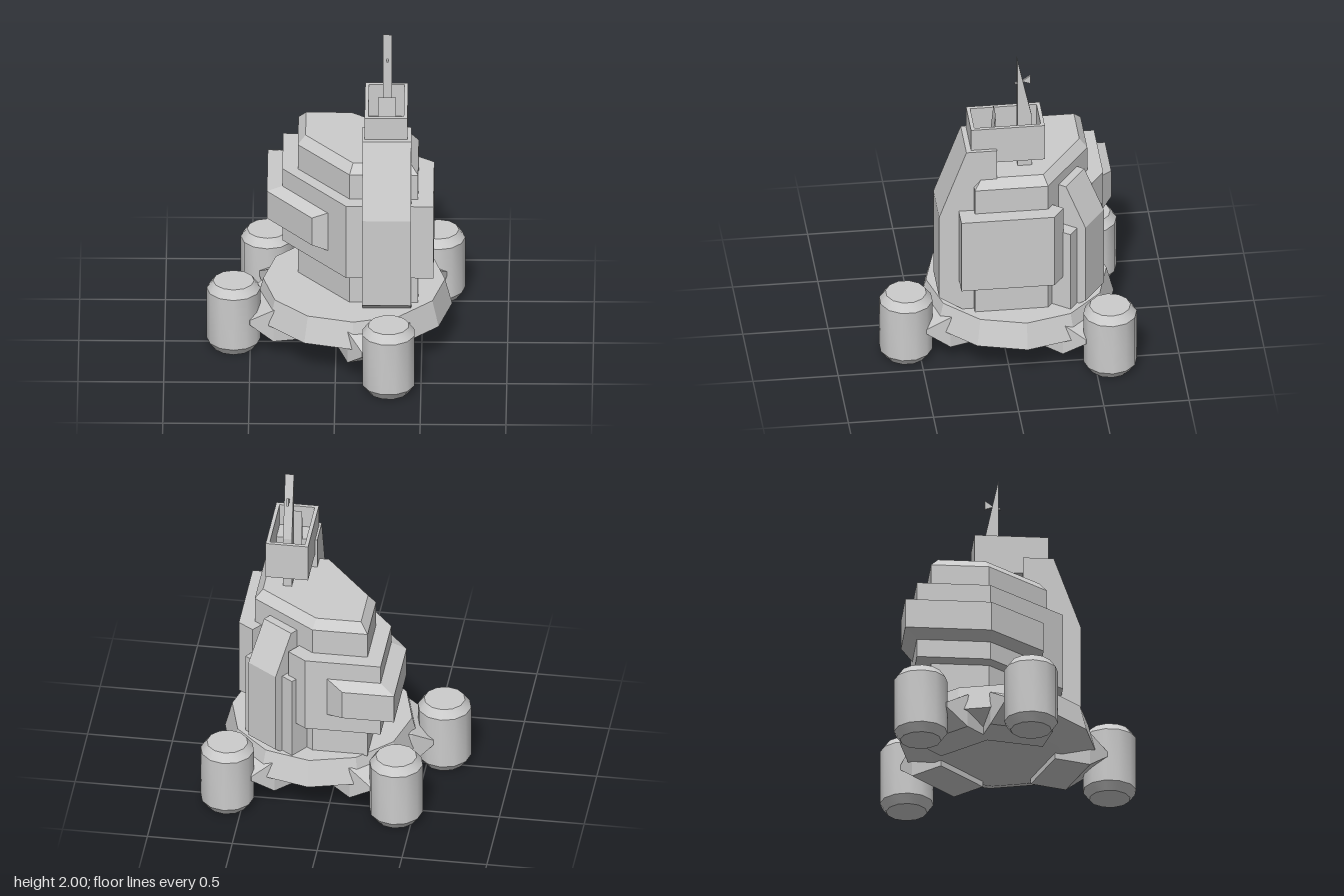
import * as THREE from 'three';
import { toCreasedNormals } from 'three/addons/utils/BufferGeometryUtils.js';

const flat = new THREE.MeshStandardMaterial({ color: 0xcccccc, flatShading: true });
const smooth = new THREE.MeshStandardMaterial({ color: 0xcccccc });
const V = (x, y, z) => new THREE.Vector3(x, y, z);

function add(parent, name, geo, x = 0, y = 0, z = 0, mat = flat) {
  const mesh = new THREE.Mesh(geo, mat);
  mesh.name = name;
  mesh.position.set(x, y, z);
  parent.add(mesh);
  return mesh;
}

// Skins a row of equal convex rings and closes both ends
function loft(rings) {
  const n = rings[0].length, tris = [];
  for (let r = 0; r < rings.length - 1; r++) {
    const a = rings[r], b = rings[r + 1];
    for (let i = 0; i < n; i++) {
      const j = (i + 1) % n;
      tris.push([a[i], a[j], b[j]], [a[i], b[j], b[i]]);
    }
  }
  const first = rings[0], last = rings[rings.length - 1];
  for (let i = 1; i < n - 1; i++) tris.push([first[0], first[i + 1], first[i]], [last[0], last[i], last[i + 1]]);
  // Turn the faces outward if the rings ran the other way
  const volume = tris.reduce((s, [a, b, c]) => s + a.dot(b.clone().cross(c)), 0);
  if (volume < 0) tris.forEach(t => t.reverse());
  const geo = new THREE.BufferGeometry().setFromPoints(tris.flat());
  geo.computeVertexNormals();
  return geo;
}

const shapeOf = pts => new THREE.Shape(pts.map(p => new THREE.Vector2(...p)));

// Side profile of [z, y] points, extruded along x and centred
const sideProfile = (pts, width) =>
  new THREE.ExtrudeGeometry(shapeOf(pts), { depth: width, bevelEnabled: false })
    .translate(0, 0, -width / 2).rotateY(-Math.PI / 2);

// Floor plan of [x, z] points, extruded upward
const floorPlan = (pts, y0, y1) =>
  new THREE.ExtrudeGeometry(shapeOf(pts.map(([x, z]) => [x, -z])), { depth: y1 - y0, bevelEnabled: false })
    .rotateX(-Math.PI / 2).translate(0, y0, 0);

const lathe = (pts, sides) => new THREE.LatheGeometry(pts.map(p => new THREE.Vector2(...p)), sides);

export function createModel() {
  const model = new THREE.Group();
  model.name = 'rocketStation';
  const baseX = 0.104, baseZ = -0.092;

  // Twelve-sided base plate
  add(model, 'basePlate', lathe([[0, 0.14], [0.39, 0.14], [0.572, 0.21], [0.53, 0.37], [0, 0.37]], 12), baseX, 0, baseZ);

  // Thruster pods, each joined to the base by a wedge-shaped strut
  const podGeo = toCreasedNormals(
    lathe([[0, 0], [0.12, 0], [0.157, 0.05], [0.157, 0.38], [0.12, 0.43], [0, 0.43]], 12), 0.55);
  const section = (z, w, y0, y1) => [V(-w, y0, z), V(w, y0, z), V(w, y1, z), V(-w, y1, z)];
  const strutGeo = loft([section(0.07, 0.14, 0.2, 0.23), section(0.2, 0.19, 0.105, 0.31), section(0.42, 0.19, 0.105, 0.31)]);
  const pods = [[-0.405, -0.585, 0], [0.59, -0.585, 0], [-0.597, 0.045, 0], [0.312, 0.58, Math.PI / 12]];
  for (const [x, z, turn] of pods) {
    add(model, 'thrusterPod', podGeo, x, 0, z, smooth).rotation.y = turn;
    add(model, 'podStrut', strutGeo, x, 0, z).rotation.y = Math.atan2(baseX - x, baseZ - z);
  }

  // Six-sided core with a bevelled roof
  const core = [[-0.225, -0.51], [0.1, -0.51], [0.48, -0.235], [0.48, 0.195], [0.08, 0.195], [-0.225, -0.17]];
  const roof = [[-0.18, -0.465], [0.085, -0.465], [0.435, -0.212], [0.435, 0.15], [0.1, 0.15], [-0.18, -0.187]];
  const ring = (pts, y) => pts.map(([x, z]) => V(x, y, z));
  add(model, 'coreBody', loft([ring(core, 0.36), ring(core, 1.215), ring(roof, 1.27)]));

  // Armour band, left open at the back where the rear fin sits
  add(model, 'armourBand', floorPlan([
    [0.06, 0.285], [0.57, 0.285], [0.57, -0.262], [0.48, -0.325], [0.4, -0.22], [0.1, -0.42],
    [0.18, -0.44], [0.24, -0.52], [0.13, -0.6], [-0.315, -0.6], [-0.315, -0.17]], 0.58, 1.055));

  // Tapered rib around the right rear of the band
  const ribPath = [
    [[0, -0.6], [-0.1, -0.675]], [[-0.315, -0.6], [-0.405, -0.675]],
    [[-0.315, -0.17], [-0.405, -0.17]], [[-0.045, 0.155], [-0.14, 0.155]]];
  add(model, 'sideRib', loft(ribPath.map(([[xi, zi], [xo, zo]]) =>
    [V(xi, 0.69, zi), V(xo, 0.725, zo), V(xo, 0.905, zo), V(xi, 0.94, zi)])));

  // Tall front fin
  add(model, 'frontFin', sideProfile(
    [[0.06, 0.37], [0.265, 0.37], [0.4, 0.46], [0.4, 1.02], [0.24, 1.46], [0.06, 1.46]], 0.285), 0.298);

  // Rear fin with a slim bar on each side, set on the slanted back wall
  const rear = new THREE.Group();
  rear.name = 'rearFinGroup';
  rear.position.set(0.29, 0, -0.372);
  rear.rotation.y = Math.atan2(0.586, -0.81);
  add(rear, 'rearFin', sideProfile(
    [[-0.05, 0.37], [0.14, 0.37], [0.18, 0.4], [0.18, 0.91], [0.05, 1.155], [-0.05, 1.155]], 0.22));
  for (const s of [-1, 1]) add(rear, 'rearBar', new THREE.BoxGeometry(0.08, 0.52, 0.17), s * 0.15, 0.63, 0.04);
  model.add(rear);

  // Open lookout box on top of the front fin
  const x0 = 0.168, x1 = 0.418, z0 = -0.223, z1 = 0.21, t = 0.022;
  const rect = (a, b, c, d) => [[a, c], [b, c], [b, d], [a, d]];
  const wall = shapeOf(rect(x0, x1, -z1, -z0));
  wall.holes.push(new THREE.Path(rect(x0 + t, x1 - t, -z1 + t, -z0 - t).map(p => new THREE.Vector2(...p))));
  add(model, 'lookoutWalls', new THREE.ExtrudeGeometry(wall, { depth: 0.235, bevelEnabled: false })
    .rotateX(-Math.PI / 2).translate(0, 1.365, 0));
  add(model, 'lookoutFloor', floorPlan(rect(x0 + 0.01, x1 - 0.01, z0 + 0.01, z1 - 0.01), 1.366, 1.39));

  // Mast post rising to a blade, with a small cross vane
  add(model, 'mast', sideProfile([[-0.16, 1.26], [-0.075, 1.26], [-0.075, 2], [-0.16, 1.6]], 0.052), 0.299);
  add(model, 'mastVane', sideProfile(
    [[-0.06, 1.825], [-0.06, 1.835], [-0.11, 1.85], [-0.152, 1.88], [-0.152, 1.825], [-0.11, 1.84]], 0.012), 0.299);

  // Short pointed blade inside the box
  add(model, 'shortBlade', sideProfile([[0.05, 1.38], [0.085, 1.38], [0.058, 1.655]], 0.105), 0.297);
  return model;
}
